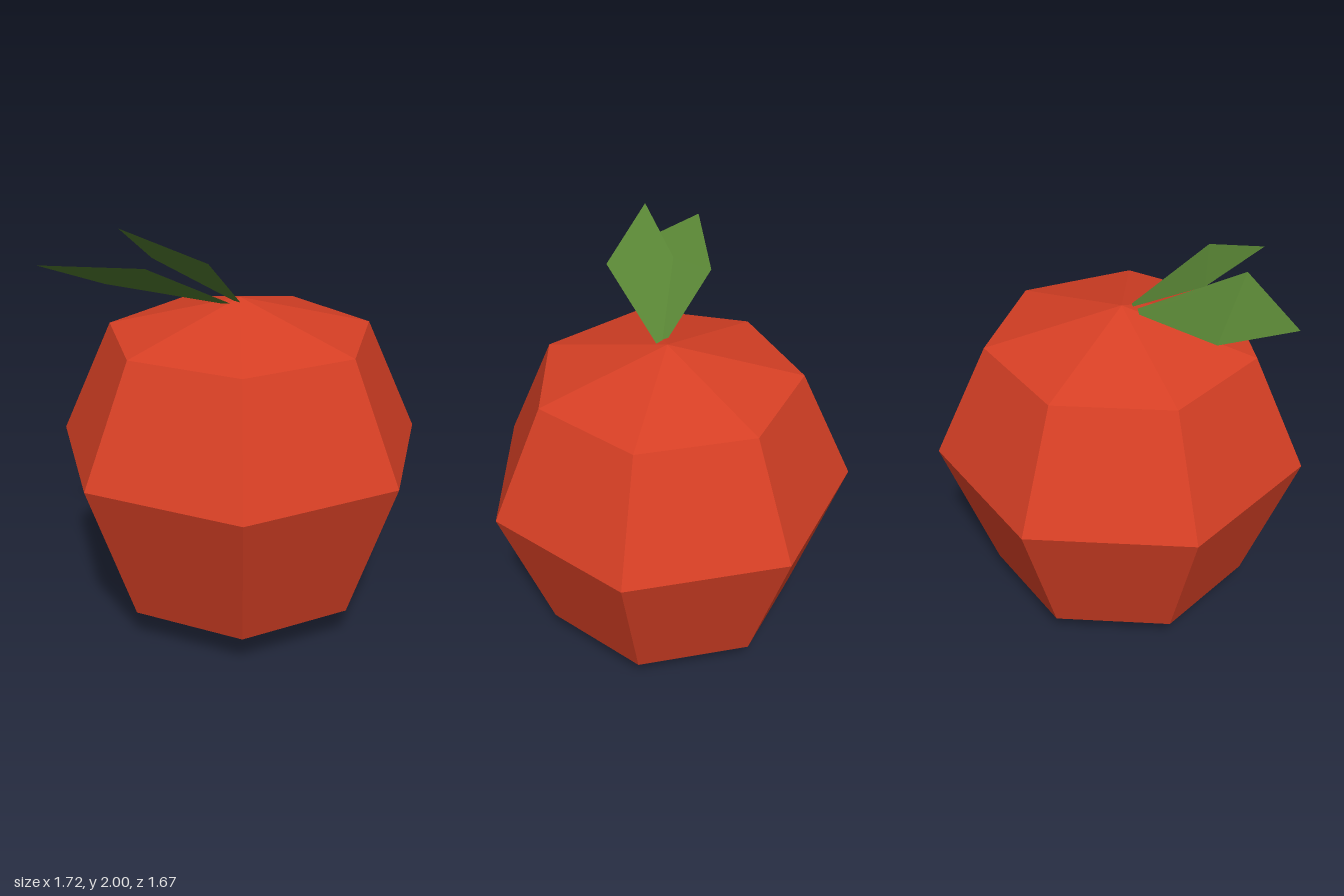
import * as THREE from 'three';

const SIDES = 7;
const CENTER_Z = 0.04;

export function createModel() {
  const model = new THREE.Group();
  model.name = 'fruit';

  const red = new THREE.MeshStandardMaterial({ color: 0xd84025, flatShading: true });
  red.name = 'red skin';
  const green = new THREE.MeshStandardMaterial({ color: 0x588434, flatShading: true, side: THREE.DoubleSide });
  green.name = 'leaf green';

  // Faceted body: seven-sided lathe with a corner at the back
  const profile = [[0, 0], [0.63, 0.17], [0.88, 0.875], [0.63, 1.43], [0, 1.595]]
    .map(([r, y]) => new THREE.Vector2(r, y));
  const bodyGeometry = new THREE.LatheGeometry(profile, SIDES, Math.PI).toNonIndexed();
  bodyGeometry.computeVertexNormals();
  const body = new THREE.Mesh(bodyGeometry, red);
  body.name = 'body';
  body.position.z = CENTER_Z;
  model.add(body);

  // Thin leaf: narrow base, one corner on each side, pointed tip
  function addLeaf(name, baseA, baseB, sideB, tip, sideA) {
    const triangles = [
      baseA, baseB, sideB,
      baseA, sideB, sideA,
      sideA, sideB, tip,
    ];
    const geometry = new THREE.BufferGeometry();
    geometry.setAttribute('position', new THREE.Float32BufferAttribute(triangles.flat(), 3));
    geometry.computeVertexNormals();
    const leaf = new THREE.Mesh(geometry, green);
    leaf.name = name;
    model.add(leaf);
  }

  addLeaf('upperLeaf',
    [-0.01, 1.59, 0.09], [0.025, 1.585, 0.09],
    [0.04, 1.85, 0.44], [-0.3, 2, 0.59], [-0.28, 1.82, 0.35]);
  addLeaf('lowerLeaf',
    [-0.06, 1.575, 0.11], [-0.015, 1.58, 0.11],
    [-0.2, 1.83, 0.555], [-0.68, 1.815, 0.65], [-0.52, 1.675, 0.355]);

  // Leaf corners run counter-clockwise seen from above
  return model;
}
